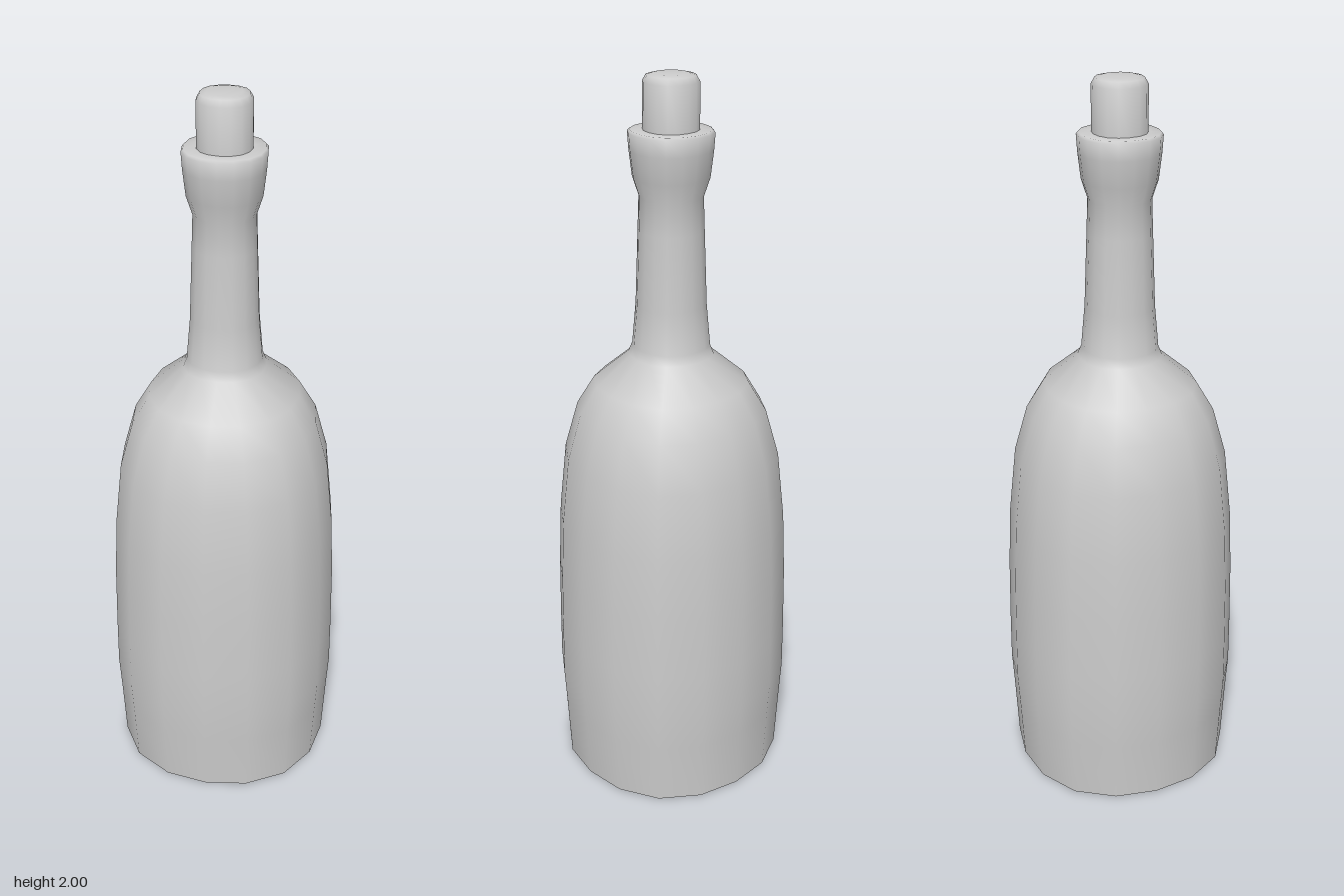
import * as THREE from 'three';
import { toCreasedNormals, mergeVertices } from 'three/addons/utils/BufferGeometryUtils.js';

const SIDES = 16;

// Turned part whose round section swells slightly on the diagonals
function turned(name, profile, crease) {
  const points = profile.map(([r, y]) => new THREE.Vector2(r, y));
  let geometry = new THREE.LatheGeometry(points, SIDES);
  const pos = geometry.attributes.position;
  for (let i = 0; i < pos.count; i++) {
    const x = pos.getX(i), z = pos.getZ(i);
    const swell = 1 + 0.036 * Math.sin(2 * Math.atan2(z, x)) ** 2;
    pos.setX(i, x * swell);
    pos.setZ(i, z * swell);
  }
  geometry.deleteAttribute('uv');
  geometry.deleteAttribute('normal');
  geometry = mergeVertices(geometry, 1e-5);
  geometry.computeVertexNormals();
  if (crease) geometry = toCreasedNormals(geometry, crease);
  const material = new THREE.MeshStandardMaterial({ color: 0xcccccc, side: THREE.DoubleSide });
  const mesh = new THREE.Mesh(geometry, material);
  mesh.name = name;
  return mesh;
}

export function createModel() {
  const group = new THREE.Group();
  group.name = 'bottle';

  // Body, shoulder, neck and lip in one continuous profile
  group.add(turned('bottleGlass', [
    [0, 0], [0.27, 0], [0.305, 0.003],
    [0.314, 0.18], [0.32, 0.28], [0.319, 0.42], [0.316, 0.6],
    [0.308, 0.78], [0.288, 0.97], [0.252, 1.1], [0.205, 1.18],
    [0.112, 1.26], [0.102, 1.285], [0.092, 1.4], [0.085, 1.6],
    [0.082, 1.69], [0.098, 1.74], [0.106, 1.81], [0.109, 1.855],
    [0.104, 1.861], [0.07, 1.861],
  ], 1.2));

  // Stopper pushed into the mouth
  group.add(turned('cork', [
    [0.071, 1.83], [0.071, 1.98], [0.062, 1.996], [0.045, 2], [0, 2],
  ], 1.2));

  return group;
}
